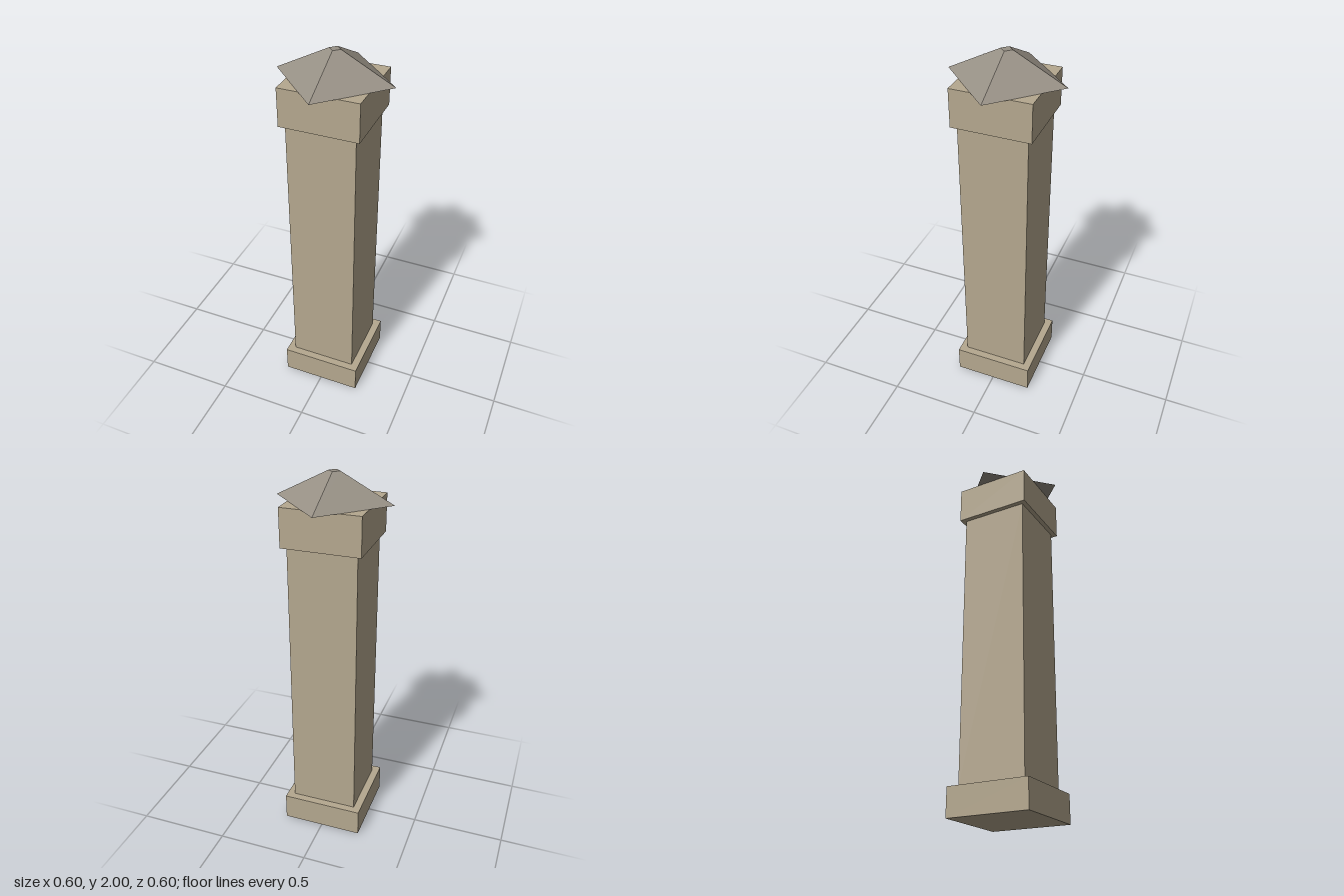
import * as THREE from 'three';

export function createModel() {
  const pillar = new THREE.Group();
  pillar.name = 'stonePillar';

  const stone = new THREE.MeshStandardMaterial({ color: 0xb5a88f, flatShading: true });
  stone.name = 'sandstone';
  const slate = new THREE.MeshStandardMaterial({ color: 0x979085, flatShading: true });
  slate.name = 'grey slate';

  // Adds a part whose underside sits at the given height
  function addPart(name, geometry, material, bottom, height) {
    const mesh = new THREE.Mesh(geometry, material);
    mesh.name = name;
    mesh.position.y = bottom + height / 2;
    pillar.add(mesh);
  }

  // Square blocks: name, width, bottom, height
  const blocks = [
    ['base', 0.44, 0, 0.15],
    ['shaft', 0.36, 0.15, 1.51],
    ['capital', 0.41, 1.66, 0.2],
  ];
  for (const [name, width, bottom, height] of blocks) {
    addPart(name, new THREE.BoxGeometry(width, height, width), stone, bottom, height);
  }

  // Truncated four-sided roof, its corners over the middle of each side
  addPart('roof', new THREE.CylinderGeometry(0.03, 0.3, 0.14, 4), slate, 1.86, 0.14);

  return pillar;
}
